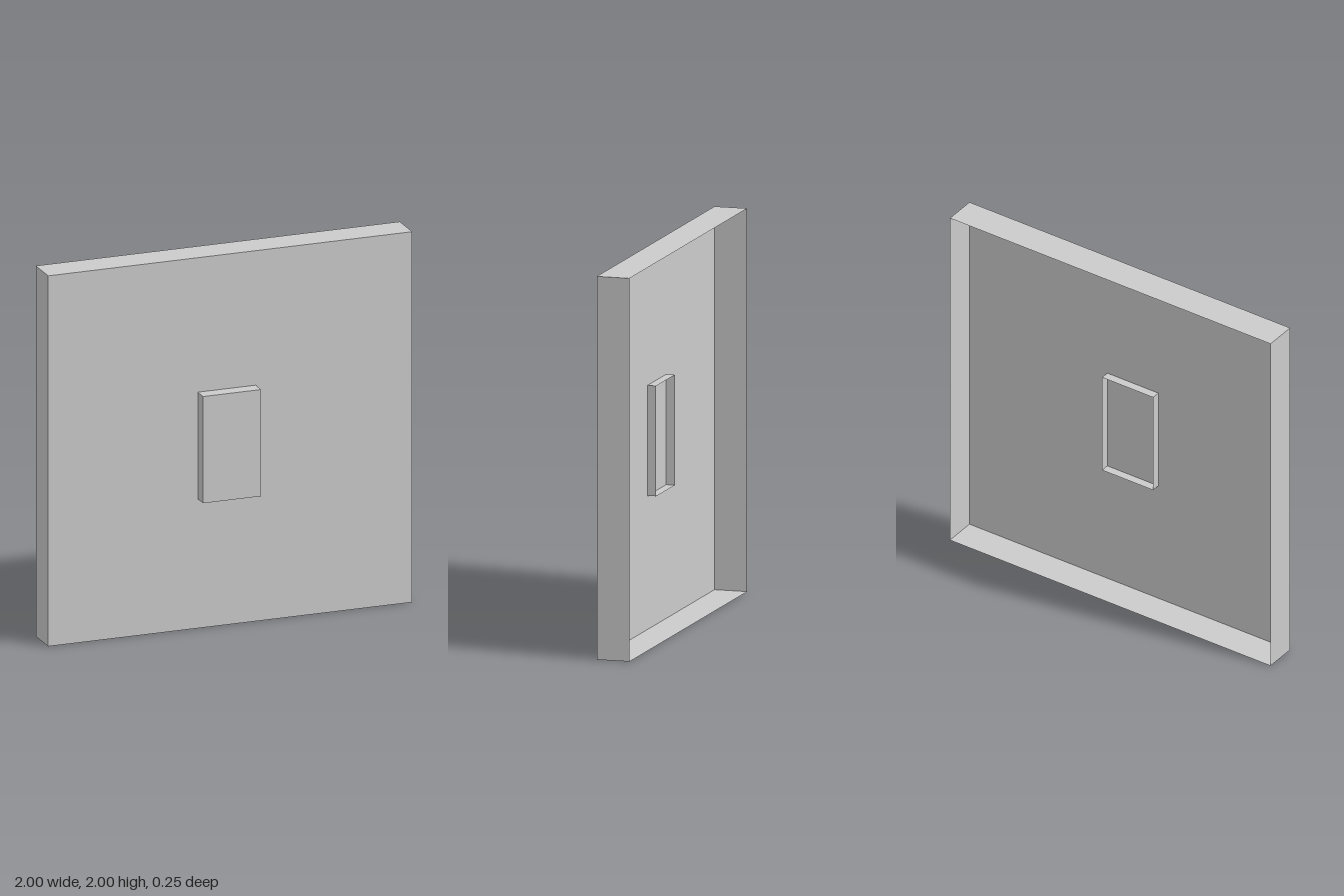
import * as THREE from 'three';

const material = new THREE.MeshStandardMaterial({ color: 0xcccccc, side: THREE.DoubleSide, flatShading: true });

// Thin-walled box with its back (-z) left open
function openBox(name, [x0, x1], [y0, y1], [z0, z1]) {
  const geometry = new THREE.BoxGeometry(x1 - x0, y1 - y0, z1 - z0);
  geometry.setIndex(Array.from(geometry.index.array).slice(0, 30)); // drop the -z face
  geometry.clearGroups();
  geometry.translate((x0 + x1) / 2, (y0 + y1) / 2, (z0 + z1) / 2);
  const mesh = new THREE.Mesh(geometry, material);
  mesh.name = name;
  return mesh;
}

export function createModel() {
  const group = new THREE.Group();
  group.name = 'wallPanel';

  // Large square panel with a rim folded back
  group.add(openBox('panel', [-1, 1], [0, 2], [-0.126, 0.05]));

  // Small raised plate that passes through the panel and shows as a rim behind
  group.add(openBox('raisedPlate', [-0.178, 0.14], [0.698, 1.274], [0.003, 0.126]));

  return group;
}
